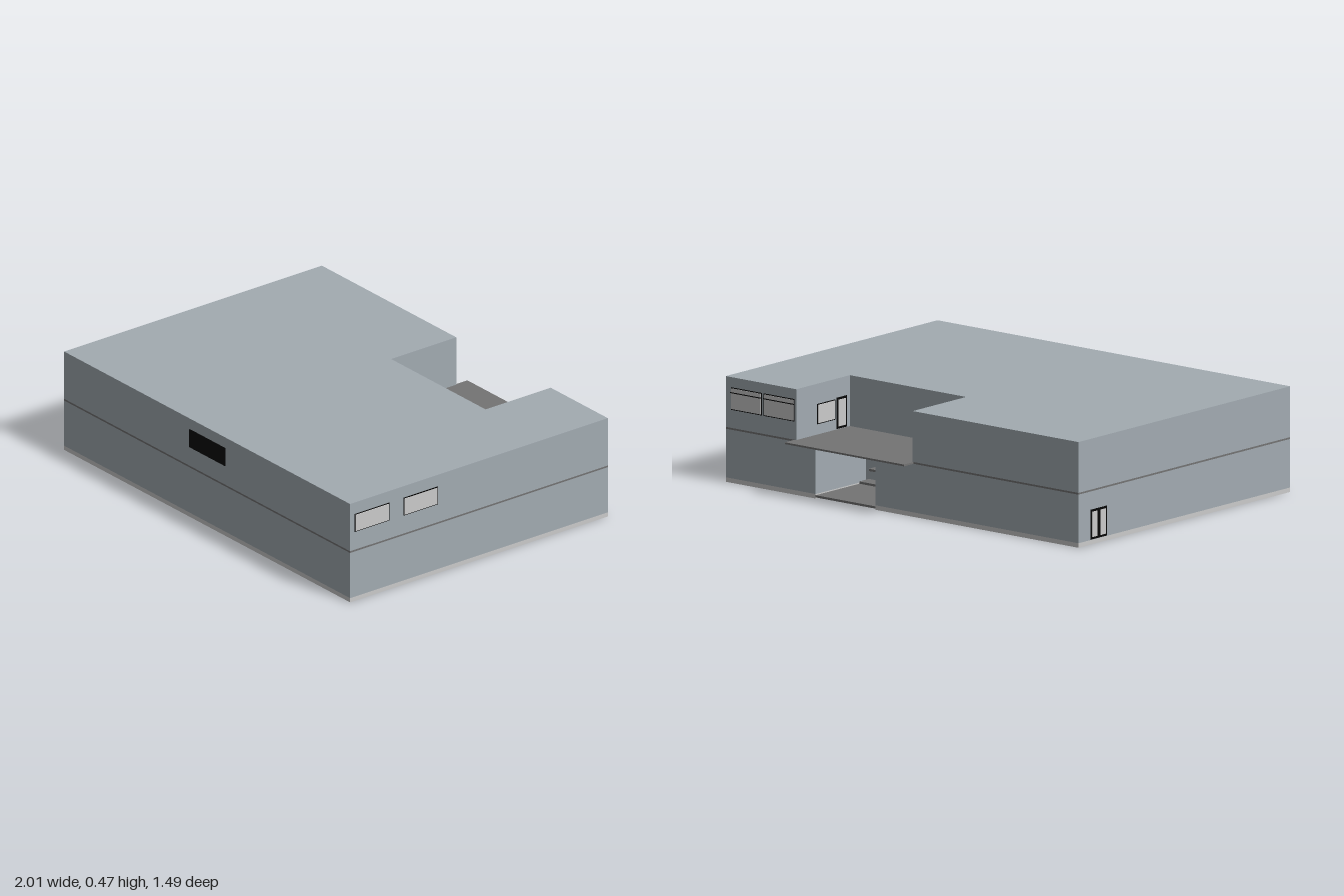
import * as THREE from 'three';

const mat = (name, color) => Object.assign(new THREE.MeshStandardMaterial({ color }), { name });

export function createModel() {
  const group = new THREE.Group();
  const wall = mat('wall grey', 0xa2abb1);
  const pale = mat('pale grey', 0xcbcbcb);
  const slab = mat('slab grey', 0x747474);
  const black = mat('black', 0x060606);

  const FRONT = 0.745, BACK = -0.68;

  function add(name, geometry, material) {
    const m = new THREE.Mesh(geometry, material);
    m.name = name;
    group.add(m);
    return m;
  }

  // Box given by its limits on each axis
  function box(name, material, x0, x1, y0, y1, z0, z1) {
    const m = add(name, new THREE.BoxGeometry(x1 - x0, y1 - y0, z1 - z0), material);
    m.position.set((x0 + x1) / 2, (y0 + y1) / 2, (z0 + z1) / 2);
    return m;
  }

  // Storey with a rectangular notch cut into its back
  function storey(name, material, y0, y1, nx0, nx1, nz) {
    const s = new THREE.Shape([
      [-1, -FRONT], [1, -FRONT], [1, -BACK], [nx1, -BACK],
      [nx1, -nz], [nx0, -nz], [nx0, -BACK], [-1, -BACK],
    ].map(([x, y]) => new THREE.Vector2(x, y)));
    const g = new THREE.ExtrudeGeometry(s, { depth: y1 - y0, bevelEnabled: false });
    g.rotateX(-Math.PI / 2);
    add(name, g, material).position.y = y0;
  }

  storey('base', pale, 0, 0.02, 0.15, 0.49, -0.34);
  storey('groundStorey', wall, 0.02, 0.236, 0.15, 0.49, -0.34);
  storey('upperStorey', wall, 0.244, 0.47, -0.06, 0.6, -0.32);

  // Middle slab: its exposed part is the terrace, with an overhang at the back
  box('middleSlab', slab, -1, 1, 0.236, 0.244, BACK, FRONT);
  box('terraceOverhang', slab, -0.065, 0.61, 0.236, 0.244, -0.745, BACK);

  // Entrance niche floor and treads
  box('entranceFloor', slab, 0.15, 0.49, 0.005, 0.015, BACK, -0.34);
  for (let i = 0; i < 2; i++) {
    const z = -0.47 + i * 0.065;
    box('entranceTread', slab, 0.15, 0.42, 0.04 + i * 0.045, 0.05 + i * 0.045, z, z + 0.065);
  }

  // Framed pane on a wall: a runs along z for side walls, along x for the back
  function pane(name, axis, at, dir, a0, a1, y0, y1, rim = 0.004) {
    const plate = (n, m, inset, depth) => {
      const d0 = Math.min(at, at + dir * depth), d1 = Math.max(at, at + dir * depth);
      const p = a0 + inset, q = a1 - inset;
      if (axis === 'x') box(n, m, d0, d1, y0 + inset, y1 - inset, p, q);
      else box(n, m, p, q, y0 + inset, y1 - inset, d0, d1);
    };
    plate(name + 'Frame', black, 0, 0.002);
    plate(name + 'Pane', pale, rim, 0.004);
  }

  // Right-hand wall windows
  pane('sideWindow', 'x', 1, 1, 0.53, 0.72, 0.33, 0.415);
  pane('sideWindow', 'x', 1, 1, 0.26, 0.45, 0.33, 0.415);

  // Pair of back windows with a transom bar
  for (const x of [0.61, 0.795]) {
    pane('backWindow', 'z', BACK, -1, x, x + 0.175, 0.325, 0.425);
    box('backWindowTransom', black, x, x + 0.175, 0.4, 0.404, BACK - 0.006, BACK);
  }

  // Terrace window and door
  pane('terraceWindow', 'x', 0.6, -1, -0.54, -0.42, 0.29, 0.38);
  pane('terraceDoor', 'x', 0.6, -1, -0.41, -0.34, 0.246, 0.385, 0.01);

  // Double side door at ground level
  for (const z of [-0.6, -0.545]) pane('sideDoor', 'x', -1, -1, z, z + 0.055, 0.022, 0.155, 0.01);

  // Dark front window
  box('frontWindow', black, -0.12, 0.13, 0.335, 0.42, FRONT, FRONT + 0.004);

  return group;
}
